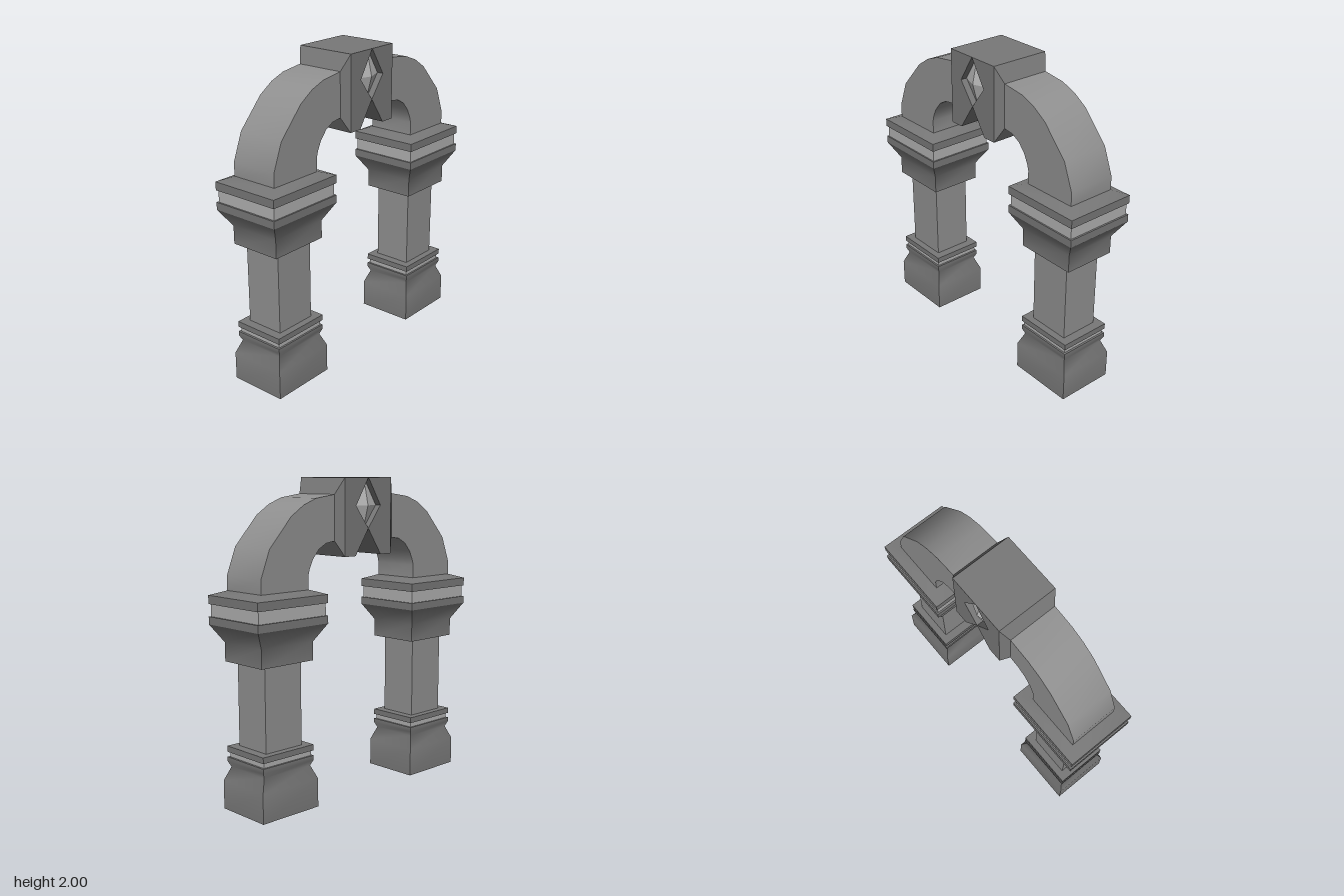
import * as THREE from 'three';
import { mergeGeometries, toCreasedNormals } from 'three/addons/utils/BufferGeometryUtils.js';
import { ConvexGeometry } from 'three/addons/geometries/ConvexGeometry.js';

const COLUMN_X = 0.64;   // column axis
const ARCH_Z = 0.158;    // half depth of the arch
const KEY_Z = 0.197;     // half depth of the keystone
const POCKET_Z = 0.155;  // floor of the gem pocket

const stone = (color) => new THREE.MeshStandardMaterial({ color });
const TRIM = stone(0x787878);
const BODY = stone(0x909090);
const GROOVE = stone(0xb0b0b0);
const GEM = stone(0xb4b4b4);

// Column sections from the ground up: [name, material, depth ratio, [[y, half width], ...]]
const SECTIONS = [
  ['plinth', TRIM, 0.87, [[0, 0.217], [0.18, 0.217], [0.265, 0.18], [0.3, 0.197], [0.328, 0.197]]],
  ['baseGroove', GROOVE, 0.87, [[0.328, 0.184], [0.36, 0.184]]],
  ['baseCap', TRIM, 0.87, [[0.36, 0.197], [0.397, 0.197]]],
  ['shaft', BODY, 0.91, [[0.397, 0.139], [0.92, 0.139]]],
  ['capitalFlare', TRIM, 0.865, [[0.92, 0.198], [1.035, 0.198], [1.143, 0.267]]],
  ['capitalLip', TRIM, 0.865, [[1.143, 0.267], [1.19, 0.267]]],
  ['capitalGroove', GROOVE, 0.865, [[1.19, 0.256], [1.265, 0.256]]],
  ['capitalSlab', TRIM, 0.865, [[1.265, 0.267], [1.317, 0.267], [1.345, 0.182]]],
];

const ARCH_OUTER = [[0.823, 1.345], [0.823, 1.43], [0.757, 1.6], [0.592, 1.78],
  [0.497, 1.842], [0.397, 1.88], [0.25, 1.9]];
const ARCH_INNER = [[0.25, 1.622], [0.32, 1.612], [0.378, 1.58], [0.425, 1.525],
  [0.452, 1.47], [0.463, 1.43], [0.463, 1.345]];

// Keystone half outlines, solid core and front plate with half of the pocket
const KEY_CORE = [[0, 2], [0, 1.69], [0.11, 1.525], [0.2, 1.525], [0.2, 2]];
const KEY_PLATE = [[0, 2], [0.106, 1.83], [0, 1.69], [0.11, 1.525], [0.2, 1.525], [0.2, 2]];

export function createModel() {
  const group = new THREE.Group();
  group.name = 'archway';

  const add = (parent, name, geometry, material) => {
    const mesh = new THREE.Mesh(geometry, material);
    mesh.name = name;
    parent.add(mesh);
  };

  // Box whose vertices are placed by a rule on their corner signs
  const shapedBox = (place) => {
    const geometry = new THREE.BoxGeometry(2, 2, 2).toNonIndexed();
    const p = geometry.attributes.position;
    for (let i = 0; i < p.count; i++) p.setXYZ(i, ...place(p.getX(i), p.getY(i), p.getZ(i)));
    geometry.computeVertexNormals();
    return geometry;
  };

  // Rectangular moulding through a profile, smooth up the height and sharp at the corners
  const moulding = (profile, ratio) => {
    const tiers = profile.slice(1).map((top, i) => shapedBox((x, y, z) => {
      const [level, w] = y > 0 ? top : profile[i];
      return [x * w, level, z * w * ratio];
    }));
    return toCreasedNormals(mergeGeometries(tiers), 1);
  };

  // Outline extruded from z0 to z1, mirrored by side
  const slab = (points, side, z0, z1) => {
    const shape = new THREE.Shape(points.map(([x, y]) => new THREE.Vector2(x * side, y)));
    return new THREE.ExtrudeGeometry(shape, { depth: z1 - z0, bevelEnabled: false })
      .translate(0, 0, z0);
  };

  const keystone = new THREE.Group();
  keystone.name = 'keystone';
  group.add(keystone);

  for (const side of [1, -1]) {
    const label = side > 0 ? 'left' : 'right';

    // Square column with moulded base and capital
    const column = new THREE.Group();
    column.name = label + 'Column';
    column.position.x = side * COLUMN_X;
    group.add(column);
    for (const [name, material, ratio, profile] of SECTIONS) {
      add(column, name, moulding(profile, ratio), material);
    }

    // Curved half of the arch
    const arch = slab([...ARCH_OUTER, ...ARCH_INNER], side, -ARCH_Z, ARCH_Z);
    add(group, label + 'Arch', toCreasedNormals(arch, 0.6), BODY);

    // Keystone half: core, pocketed plates on both faces, tapered flank
    add(keystone, label + 'Core', slab(KEY_CORE, side, -POCKET_Z, POCKET_Z), TRIM);
    add(keystone, label + 'FrontPlate', slab(KEY_PLATE, side, POCKET_Z, KEY_Z), TRIM);
    add(keystone, label + 'BackPlate', slab(KEY_PLATE, side, -KEY_Z, -POCKET_Z), TRIM);
    add(keystone, label + 'Flank', shapedBox((x, y, z) => (x * side > 0
      ? [side * 0.25, y > 0 ? 1.9 : 1.622, z * ARCH_Z]
      : [side * 0.2, y > 0 ? 2 : 1.525, z * KEY_Z])), TRIM);
  }

  // Faceted diamond gem set in each pocket
  for (const [name, s] of [['frontGem', 1], ['backGem', -1]]) {
    const base = [[0, 2], [0.106, 1.83], [0, 1.69], [-0.106, 1.83]];
    const points = base.map(([x, y]) => new THREE.Vector3(x, y, s * POCKET_Z));
    points.push(new THREE.Vector3(0, 1.83, s * 0.193));
    add(keystone, name, new ConvexGeometry(points), GEM);
  }

  return group;
}
